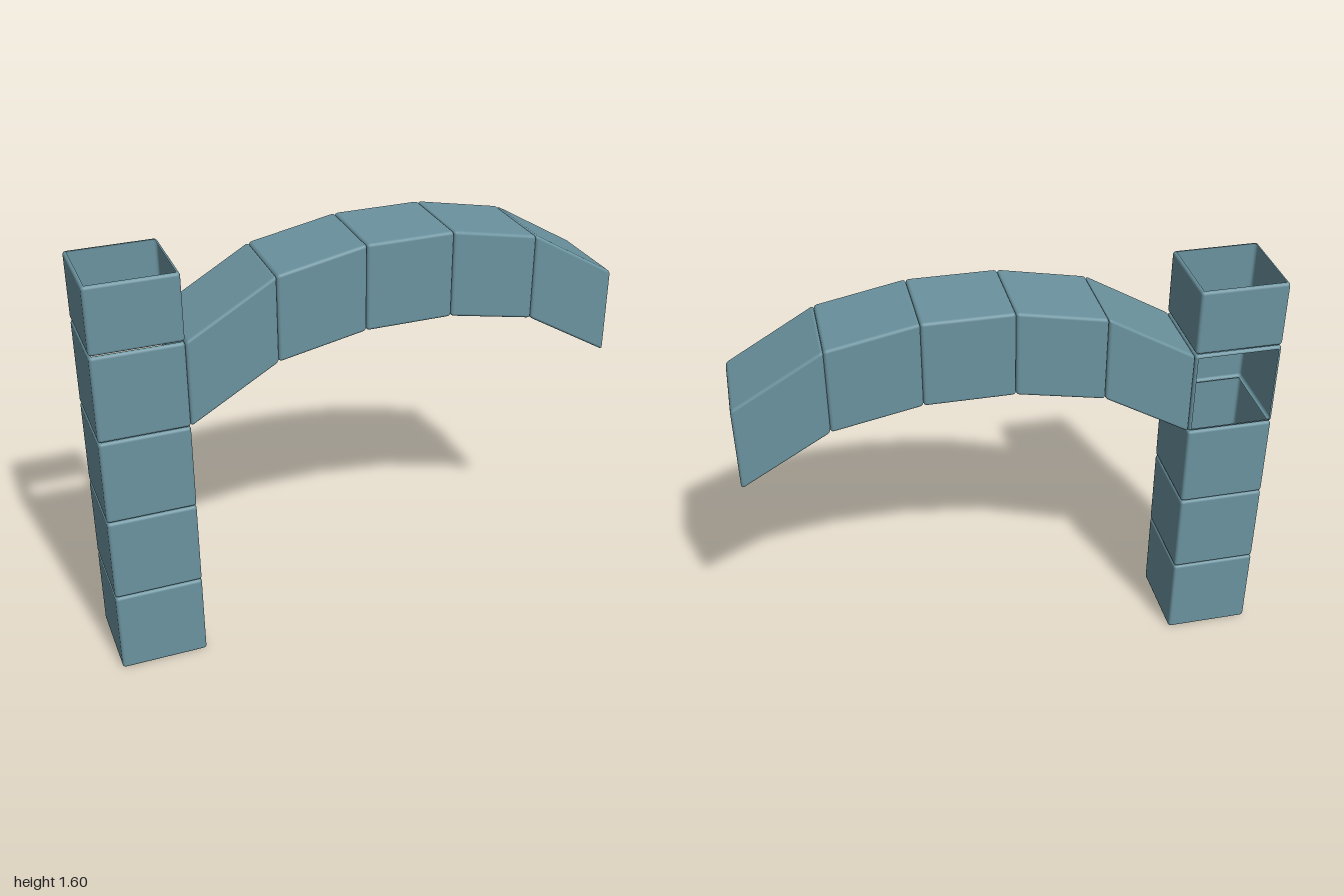
import * as THREE from 'three';
import { RoundedBoxGeometry } from 'three/addons/geometries/RoundedBoxGeometry.js';

const SIZE = 1 / 3;   // edge of one block
const BEVEL = 0.012;  // rounded edge, also the lip around each opening
const AXIS = { x: 0, y: 1, z: 2 };

// Rounded box shell with the flat panels of the named sides (e.g. '+y') removed
function openBlock(width, height, depth, openSides) {
  const box = new RoundedBoxGeometry(width, height, depth, 2, BEVEL);
  const half = [width / 2, height / 2, depth / 2];
  const pos = box.attributes.position.array;
  const nor = box.attributes.normal.array;
  const keptPos = [], keptNor = [];
  for (let i = 0; i < pos.length; i += 9) {
    const removed = openSides.some((side) => {
      const a = AXIS[side[1]];
      const sign = side[0] === '+' ? 1 : -1;
      const centre = sign * (pos[i + a] + pos[i + 3 + a] + pos[i + 6 + a]) / 3;
      return centre > half[a] - 1e-5;
    });
    if (removed) continue;
    for (let k = i; k < i + 9; k++) {
      keptPos.push(pos[k]);
      keptNor.push(nor[k]);
    }
  }
  const geometry = new THREE.BufferGeometry();
  geometry.setAttribute('position', new THREE.Float32BufferAttribute(keptPos, 3));
  geometry.setAttribute('normal', new THREE.Float32BufferAttribute(keptNor, 3));
  return geometry;
}

export function createModel() {
  const model = new THREE.Group();
  model.name = 'ductArch';
  const material = new THREE.MeshStandardMaterial({ color: 0x6b939f, side: THREE.DoubleSide });

  const add = (parent, name, geometry, x, y) => {
    const mesh = new THREE.Mesh(geometry, material);
    mesh.name = name;
    mesh.position.set(x, y, 0);
    parent.add(mesh);
  };

  // Tower: three hollow blocks, a junction open to the back and the arch, a shorter cap
  const tower = new THREE.Group();
  tower.name = 'tower';
  model.add(tower);
  const towerX = -1 + SIZE / 2;
  const pitch = 0.336;
  for (let i = 0; i < 3; i++) {
    add(tower, `towerBlock${i + 1}`, openBlock(SIZE, SIZE, SIZE, ['+y', '-y']), towerX, SIZE / 2 + i * pitch);
  }
  add(tower, 'junctionBlock', openBlock(SIZE, SIZE, SIZE, ['+y', '-y', '+x', '-z']), towerX, SIZE / 2 + 3 * pitch);
  const capHeight = 0.255;
  add(tower, 'towerCap', openBlock(SIZE, capHeight, SIZE, ['+y', '-y']), towerX, 1.6 - capHeight / 2);

  // Arch: hollow blocks sheared so that their ends stay vertical
  const arch = new THREE.Group();
  arch.name = 'arch';
  model.add(arch);
  const tops = [1.34, 1.535, 1.6, 1.6, 1.535, 1.34];
  for (let i = 0; i < tops.length - 1; i++) {
    const slope = (tops[i + 1] - tops[i]) / SIZE;
    const shear = new THREE.Matrix4().set(
      1, 0, 0, 0,
      slope, 1, 0, 0,
      0, 0, 1, 0,
      0, 0, 0, 1);
    const geometry = openBlock(SIZE, SIZE, SIZE, ['+x', '-x']).applyMatrix4(shear);
    const y = (tops[i] + tops[i + 1]) / 2 - SIZE / 2;
    add(arch, `archBlock${i + 1}`, geometry, -1 + SIZE * (i + 1.5), y);
  }
  return model;
}
